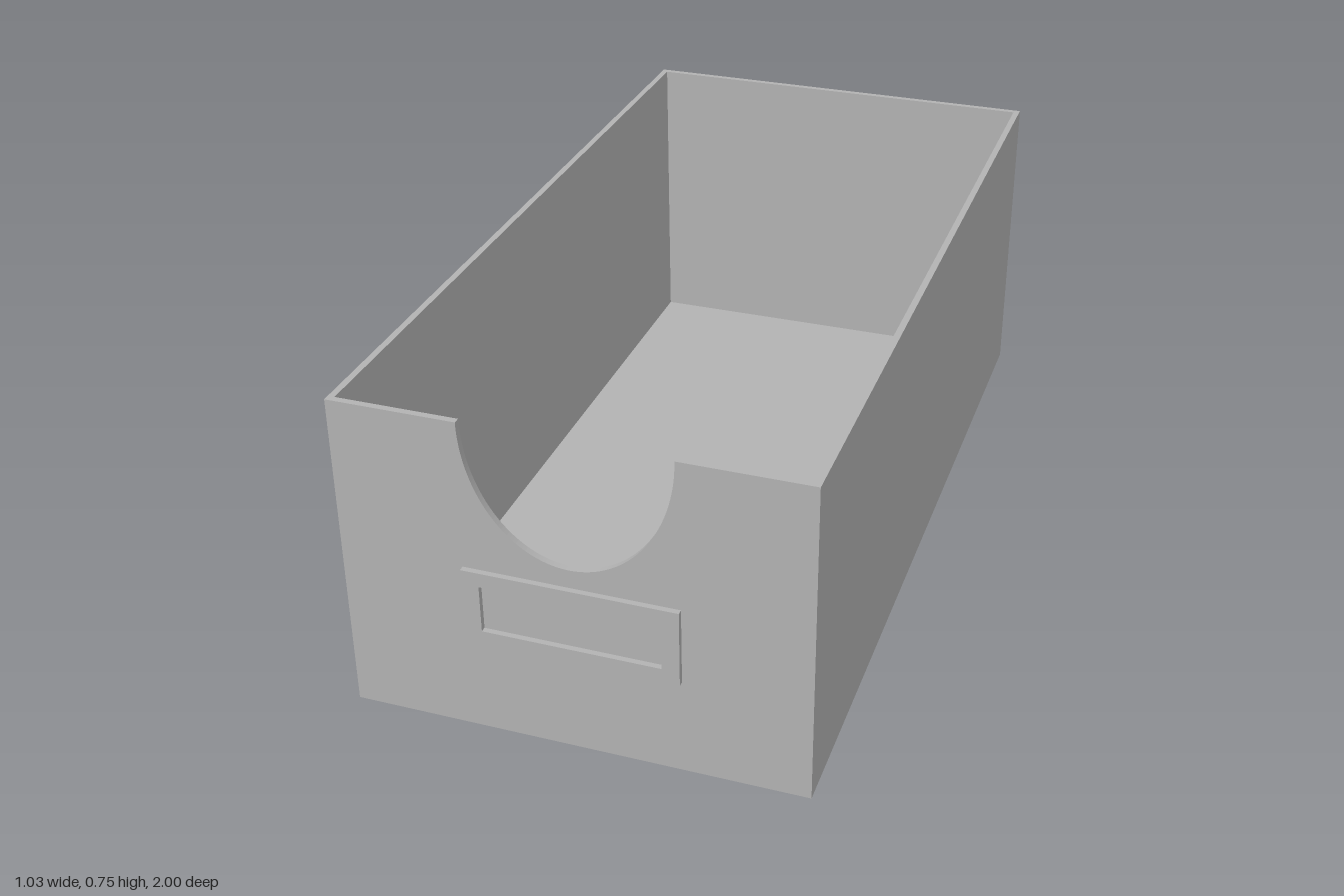
import * as THREE from 'three';

const W = 0.515, H = 0.755, BACK = -1, FRONT = 0.987, T = 0.015;

// Rectangle outline, usable as a shape or as a hole
function rect(target, x, y0, y1) {
  target.moveTo(-x, y0);
  target.lineTo(x, y0);
  target.lineTo(x, y1);
  target.lineTo(-x, y1);
  target.closePath();
  return target;
}

export function createModel() {
  const group = new THREE.Group();
  const grey = new THREE.MeshStandardMaterial({ color: 0xb2b2b2 });
  grey.name = 'grey';

  const add = (name, geometry, x = 0, y = 0, z = 0) => {
    const mesh = new THREE.Mesh(geometry, grey);
    mesh.name = name;
    mesh.position.set(x, y, z);
    group.add(mesh);
  };
  const extrude = (shape, depth) =>
    new THREE.ExtrudeGeometry(shape, { depth, bevelEnabled: false, curveSegments: 48 });

  // Floor, back and sides of the open bin
  const length = FRONT - BACK, mid = (FRONT + BACK) / 2;
  const inner = length - 2 * T;
  add('floor', new THREE.BoxGeometry(2 * (W - T), T, inner), 0, T / 2, mid);
  add('backWall', new THREE.BoxGeometry(2 * W, H, T), 0, H / 2, BACK + T / 2);
  for (const [name, s] of [['leftWall', 1], ['rightWall', -1]]) {
    add(name, new THREE.BoxGeometry(T, H, inner), s * (W - T / 2), H / 2, mid);
  }

  // Front wall with a half-ellipse hand cutout in its top edge
  const front = new THREE.Shape();
  front.moveTo(-W, 0);
  front.lineTo(W, 0);
  front.lineTo(W, H);
  front.lineTo(0.228, H);
  front.absellipse(0, H, 0.228, 0.302, 0, Math.PI, true);
  front.lineTo(-W, H);
  front.closePath();
  add('frontWall', extrude(front, T), 0, 0, FRONT - T);

  // Raised label holder frame
  const frame = rect(new THREE.Shape(), 0.237, 0.23, 0.41);
  frame.holes.push(rect(new THREE.Path(), 0.198, 0.264, 0.376));
  add('labelFrame', extrude(frame, 1 - FRONT), 0, 0, FRONT);

  return group;
}
